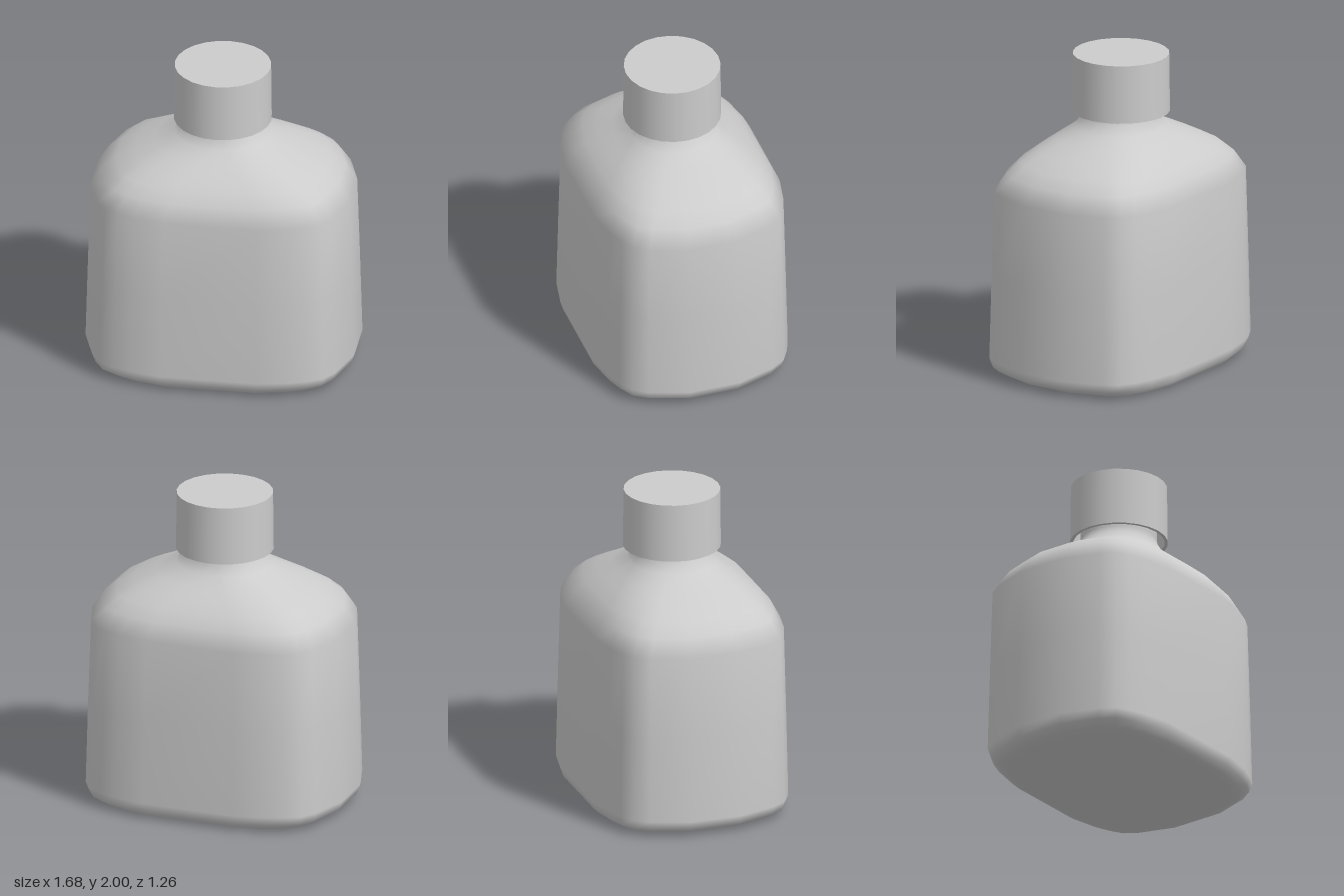
import * as THREE from 'three';

const material = new THREE.MeshStandardMaterial({ color: 0xcccccc, side: THREE.DoubleSide });
const NECK_X = -0.007, NECK_Z = -0.003;

// One quarter of the rounded-rectangle footprint, scaled to half extents of 1
const quarter = [[0.84, 0.16], [0.76, 0.40], [0.70, 0.49], [0.61, 0.54], [0.50, 0.58], [0.30, 0.62]]
  .map(([x, z]) => [x / 0.84, z / 0.62]);
const mirrored = (sx, sz) => quarter.map(([x, z]) => [x * sx, z * sz]);
const footprint = [
  ...mirrored(1, 1), ...mirrored(-1, 1).reverse(),
  ...mirrored(-1, -1), ...mirrored(1, -1).reverse(),
];

// Body rings: height, half width, half depth, roundness (0 footprint, 1 circle)
const rings = [
  [0.00, 0.69, 0.53, 0], [0.015, 0.76, 0.575, 0], [0.05, 0.82, 0.61, 0], [0.11, 0.842, 0.628, 0],
  [0.65, 0.827, 0.617, 0], [1.18, 0.81, 0.605, 0], [1.29, 0.74, 0.55, 0.04], [1.36, 0.66, 0.49, 0.1],
  [1.42, 0.55, 0.42, 0.22], [1.48, 0.425, 0.345, 0.45], [1.54, 0.30, 0.27, 0.8],
  [1.60, 0.255, 0.24, 1], [1.64, 0.24, 0.235, 1], [1.9, 0.235, 0.235, 1],
];

function createBody() {
  const n = footprint.length, positions = [], index = [];
  for (const [y, w, d, round] of rings) {
    footprint.forEach(([px, pz], i) => {
      const a = ((i + 0.5) / n) * Math.PI * 2;
      const x = THREE.MathUtils.lerp(px, Math.cos(a), round);
      const z = THREE.MathUtils.lerp(pz, Math.sin(a), round);
      positions.push(x * w + NECK_X * round, y, z * d + NECK_Z * round);
    });
  }
  for (let j = 0; j < rings.length - 1; j++) {
    for (let i = 0; i < n; i++) {
      const a = j * n + i, b = j * n + (i + 1) % n;
      index.push(a, a + n, b, b, a + n, b + n);
    }
  }
  // Flat underside
  const centre = positions.length / 3;
  positions.push(0, 0, 0);
  for (let i = 0; i < n; i++) index.push(centre, i, (i + 1) % n);

  const geometry = new THREE.BufferGeometry();
  geometry.setAttribute('position', new THREE.Float32BufferAttribute(positions, 3));
  geometry.setIndex(index);
  geometry.computeVertexNormals();
  return geometry;
}

export function createModel() {
  const group = new THREE.Group();
  group.name = 'bottle';
  const add = (name, geometry, parent) => {
    const mesh = new THREE.Mesh(geometry, material);
    mesh.name = name;
    parent.add(mesh);
    return mesh;
  };

  add('body', createBody(), group);

  // Hollow screw cap, open underneath around the neck
  const cap = new THREE.Group();
  cap.name = 'cap';
  cap.position.set(NECK_X, 0, NECK_Z);
  group.add(cap);
  add('capWall', new THREE.CylinderGeometry(0.3, 0.304, 0.37, 24, 1, true), cap).position.y = 1.815;
  add('capTop', new THREE.CircleGeometry(0.3, 24).rotateX(-Math.PI / 2), cap).position.y = 2;
  add('capRim', new THREE.RingGeometry(0.284, 0.304, 24).rotateX(Math.PI / 2), cap).position.y = 1.63;
  add('capLining', new THREE.CylinderGeometry(0.284, 0.284, 0.34, 24, 1, true), cap).position.y = 1.8;
  add('capCeiling', new THREE.CircleGeometry(0.284, 24).rotateX(Math.PI / 2), cap).position.y = 1.97;
  return group;
}
